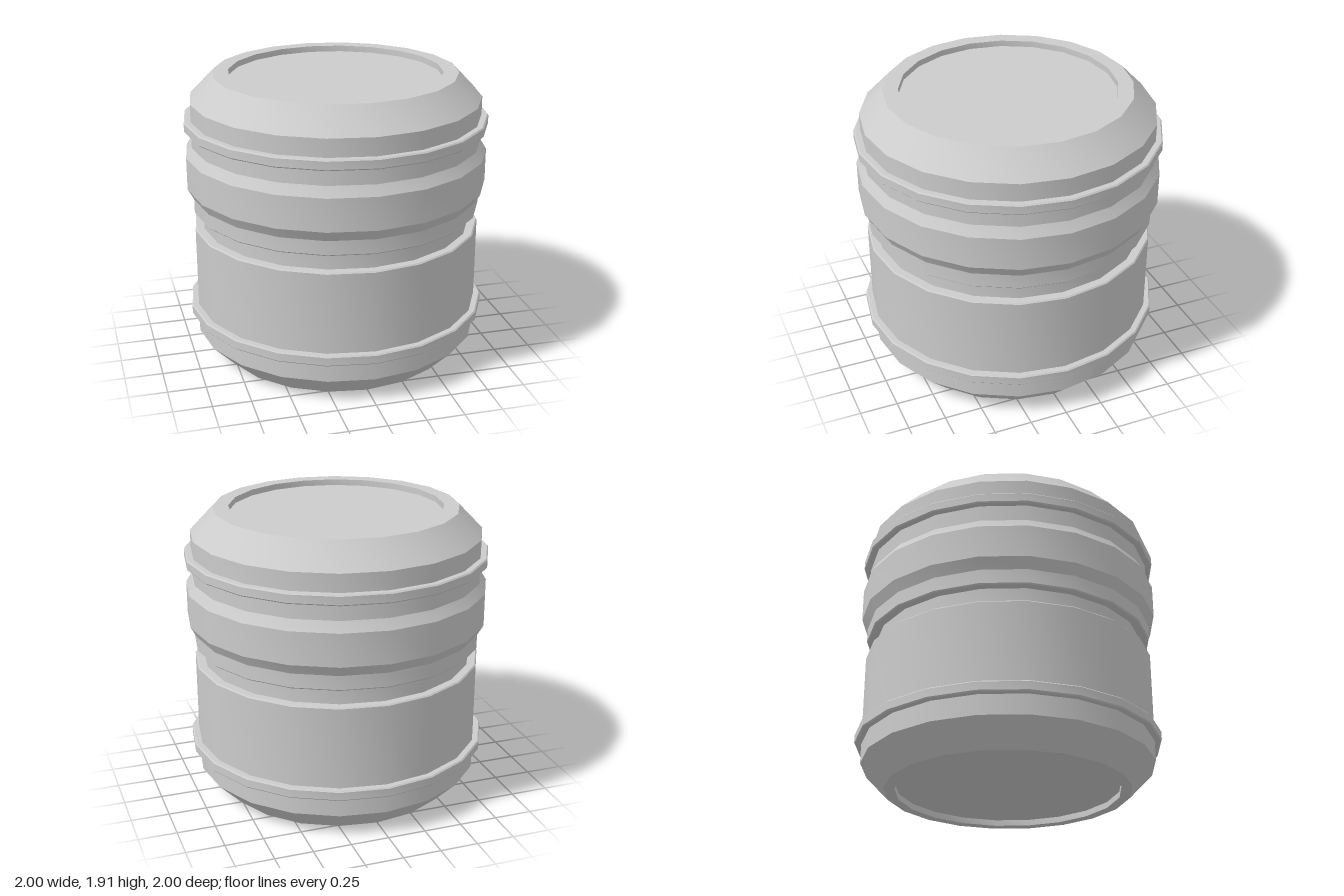
import * as THREE from 'three';
import { toCreasedNormals } from 'three/addons/utils/BufferGeometryUtils.js';

const SIDES = 20;
const CREASE = 0.45; // keeps profile edges sharp, the round walls smooth
const R = 0.955;     // main wall radius
const material = new THREE.MeshStandardMaterial({ color: 0xcccccc });

// Turns a [radius, height] profile, listed bottom to top, around the y axis
function turned(name, profile) {
  const points = profile.map(([r, y]) => new THREE.Vector2(r, y));
  const geometry = toCreasedNormals(new THREE.LatheGeometry(points, SIDES), CREASE);
  const mesh = new THREE.Mesh(geometry, material);
  mesh.name = name;
  return mesh;
}

export function createModel() {
  const barrel = new THREE.Group();
  barrel.name = 'barrel';

  // Lower drum: recessed base, chamfered foot, straight wall
  barrel.add(turned('lowerDrum', [
    [0, 0.04], [0.73, 0.04], [0.73, 0], [0.8, 0],
    [R, 0.16], [R, 0.895], [R - 0.008, 0.903], [0.895, 0.903],
  ]));

  // Narrow groove between the two drums
  barrel.add(turned('groove', [[0.895, 0.903], [0.895, 1.015]]));

  // Upper drum: swollen band, chamfered shoulder, recessed top
  barrel.add(turned('upperDrum', [
    [0.895, 1.015], [R - 0.008, 1.015], [R, 1.023], [R, 1.115],
    [0.995, 1.185], [0.995, 1.4], [R, 1.465],
    [R, 1.755], [0.8, 1.915], [0.7, 1.915], [0.7, 1.875], [0, 1.875],
  ]));

  // Raised hoops with softened edges
  const bevel = 0.008;
  for (const [name, y] of [['lowerHoop', 0.29], ['upperHoop', 1.57]]) {
    const top = y + 0.068;
    barrel.add(turned(name, [
      [R - 0.01, y], [1 - bevel, y], [1, y + bevel],
      [1, top - bevel], [1 - bevel, top], [R - 0.01, top],
    ]));
  }

  return barrel;
}
